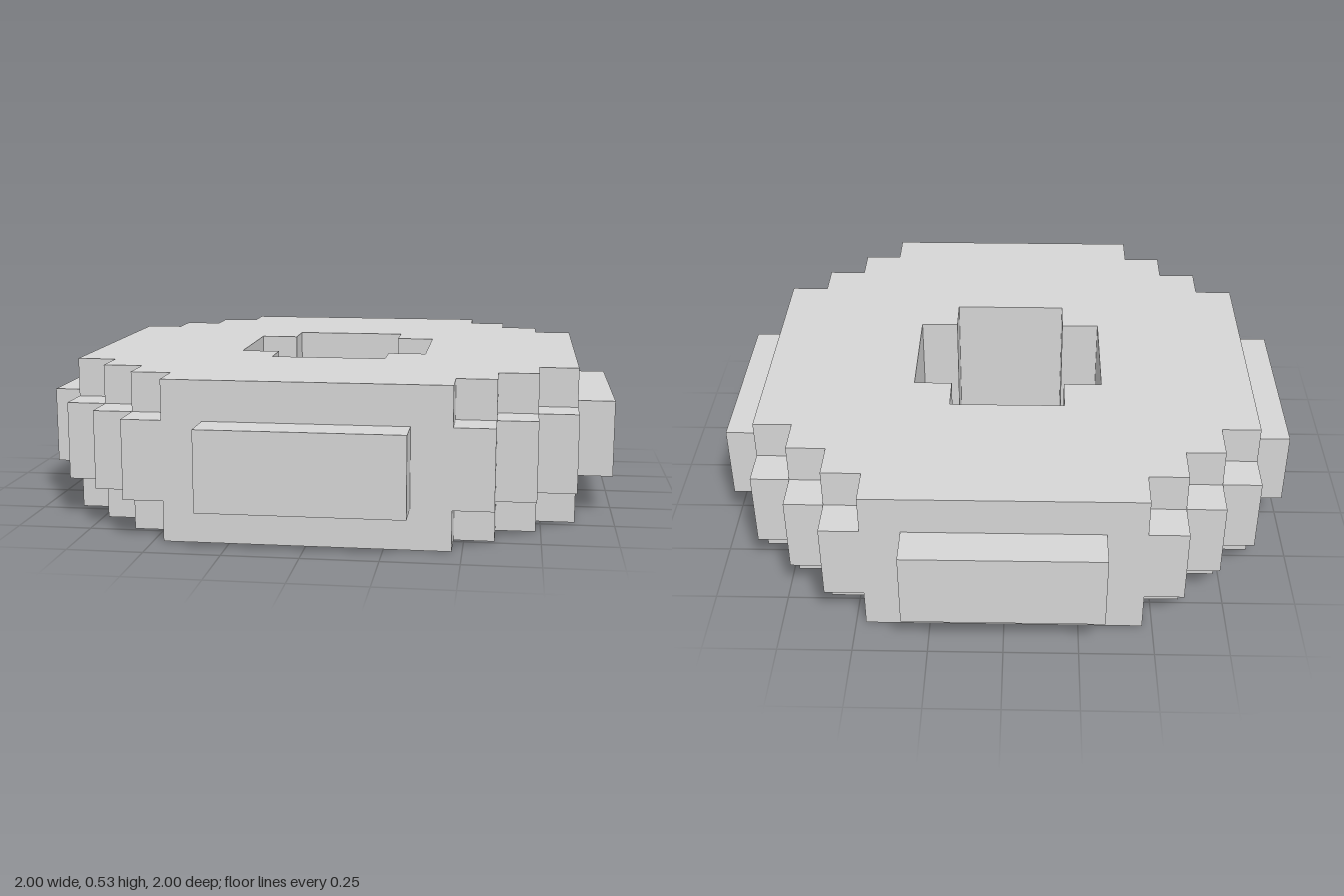
import * as THREE from 'three';

const U = 2 / 15; // block size
const HEIGHT = 4 * U;

// Mirror a quarter outline (from the +x side round to the +y side) into a full counterclockwise loop.
function mirroredLoop(quarter) {
  const back = [...quarter].reverse();
  return [
    ...quarter,
    ...back.map(([x, y]) => [-x, y]),
    ...quarter.map(([x, y]) => [-x, -y]),
    ...back.map(([x, y]) => [x, -y]),
  ].map(([x, y]) => new THREE.Vector2(x * U, y * U));
}

export function createModel() {
  const group = new THREE.Group();
  group.name = 'blockRing';
  const grey = new THREE.MeshStandardMaterial({ color: 0xd8d8d8 });
  grey.name = 'lightGrey';

  const add = (name, geometry, x = 0, y = 0, z = 0) => {
    const mesh = new THREE.Mesh(geometry, grey);
    mesh.name = name;
    mesh.position.set(x, y, z);
    group.add(mesh);
  };

  // Ring body with stepped corners and a cross-shaped hole
  const outline = new THREE.Shape(mirroredLoop([
    [6.5, 3.5], [5.5, 3.5], [5.5, 4.5], [4.5, 4.5], [4.5, 5.5], [3.5, 5.5], [3.5, 6.5],
  ]));
  outline.holes.push(new THREE.Path(mirroredLoop([[2.5, 1.5], [1.5, 1.5], [1.5, 2.5]])));
  const body = new THREE.ExtrudeGeometry(outline, { depth: HEIGHT, bevelEnabled: false });
  body.rotateX(-Math.PI / 2);
  add('ringBody', body);

  // Half-height blocks filling the corner steps
  const block = new THREE.BoxGeometry(U, 2 * U, U);
  for (const sx of [-1, 1]) {
    for (const sz of [-1, 1]) {
      for (const [x, z] of [[4, 6], [5, 5], [6, 4]]) {
        add('cornerBlock', block, sx * x * U, HEIGHT / 2, sz * z * U);
      }
    }
  }

  // Raised pads on the four sides
  const endPad = new THREE.BoxGeometry(5 * U, 2 * U, U);
  const sidePad = new THREE.BoxGeometry(U, 2 * U, 5 * U);
  for (const s of [-1, 1]) {
    add(s > 0 ? 'frontPad' : 'backPad', endPad, 0, HEIGHT / 2, s * 7 * U);
    add(s > 0 ? 'leftPad' : 'rightPad', sidePad, s * 7 * U, HEIGHT / 2, 0);
  }

  return group;
}
